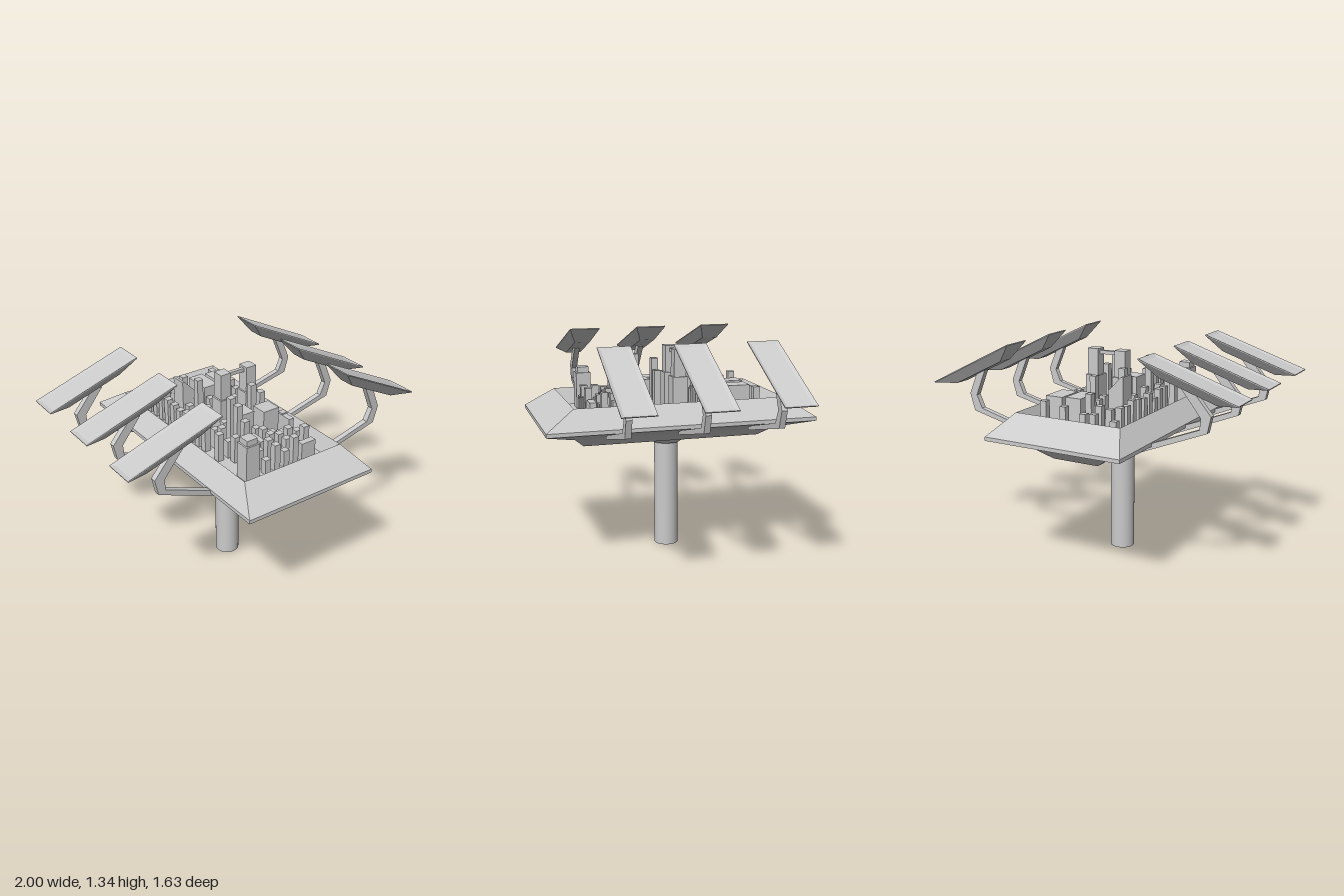
import * as THREE from 'three';

const material = new THREE.MeshStandardMaterial({ color: 0xcccccc, flatShading: true });
const smooth = new THREE.MeshStandardMaterial({ color: 0xcccccc });
const CX = -0.025; // axis of the platform and pole
const FLOOR = 0.87;

function add(parent, name, geometry, mat = material) {
  const mesh = new THREE.Mesh(geometry, mat);
  mesh.name = name;
  parent.add(mesh);
  return mesh;
}

// Skin over rectangular rings [halfX, halfZ, y], capped at both ends
function loft(rings) {
  const corners = rings.map(([w, d, y]) => [[-w, y, d], [w, y, d], [w, y, -d], [-w, y, -d]]);
  const pos = [];
  const quad = (a, b, c, d) => [a, b, c, a, c, d].forEach((p) => pos.push(...p));
  const first = corners[0], last = corners[corners.length - 1];
  quad(first[3], first[2], first[1], first[0]);
  for (let r = 0; r + 1 < corners.length; r++) {
    for (let i = 0; i < 4; i++) {
      const j = (i + 1) % 4;
      quad(corners[r][i], corners[r][j], corners[r + 1][j], corners[r + 1][i]);
    }
  }
  quad(...last);
  const g = new THREE.BufferGeometry();
  g.setAttribute('position', new THREE.Float32BufferAttribute(pos, 3));
  g.computeVertexNormals();
  return g;
}

// Block standing on the city floor
function block(parent, name, x0, x1, z0, z1, top, bottom = FLOOR - 0.005) {
  const g = new THREE.BoxGeometry(x1 - x0, top - bottom, z1 - z0);
  g.translate((x0 + x1) / 2, (top + bottom) / 2, (z0 + z1) / 2);
  return add(parent, name, g);
}

// Outline in x and y, extruded along z about its middle
function slab(points, depth) {
  const shape = new THREE.Shape(points.map(([x, y]) => new THREE.Vector2(x, y)));
  return new THREE.ExtrudeGeometry(shape, { depth, bevelEnabled: false }).translate(0, 0, -depth / 2);
}

function buildCity() {
  const city = new THREE.Group();
  city.name = 'city';

  // Small towers on a street grid: one row per z, one character per x
  const rows = [
    '#.##.#.#', '####....', '##......', '#.......', '#...####', '########', '##......', '##......',
    '#.......', '###..##.', '.##.....', '#####..#', '.##.###.', '.##.####', '..######', '..####..',
  ];
  const tall = { '5,2': 1.185, '5,5': 1.12, '9,5': 1.205, '9,6': 1.14, '10,2': 1.205, '11,2': 1.185, '12,2': 1.115, '1,3': 1.08 };
  let seed = 7;
  const random = () => (seed = (seed * 16807) % 2147483647) / 2147483647;
  rows.forEach((row, r) => [...row].forEach((mark, c) => {
    const height = 0.96 + random() * 0.085;
    if (mark !== '#') return;
    const x = -0.25 + c * 0.066, z = -0.498 + r * 0.0672;
    block(city, 'smallTower', x - 0.02, x + 0.02, z - 0.02, z + 0.02, tall[`${r},${c}`] ?? height);
  }));

  // Large buildings: x range, z range, top
  [
    [0, 0.1, -0.45, -0.275, 1.045],
    [0.125, 0.235, -0.45, -0.275, 1.04],
    [-0.075, 0.03, 0.085, 0.2, 1.08],
    [0.055, 0.165, 0.155, 0.26, 1.09],
    [0.19, 0.225, 0.22, 0.33, 1.03],
    [-0.075, -0.04, 0.29, 0.4, 1.0],
    [0.125, 0.225, 0.49, 0.53, 0.98],
    [-0.27, -0.18, 0.44, 0.53, 1.09],
    [-0.26, -0.19, 0.45, 0.52, 1.125],
  ].forEach((b) => block(city, 'largeBuilding', ...b));

  // Tower with a sloping roof
  const wedge = slab([[-0.2, 0.865], [-0.105, 0.865], [-0.105, 1.08], [-0.185, 1.165], [-0.2, 1.165]], 0.1);
  add(city, 'slopedTower', wedge).position.z = -0.26;

  // Twin towers joined by a bridge
  for (const x of [-0.037, 0.148]) {
    block(city, 'twinTower', x - 0.036, x + 0.036, -0.062, 0.01, 1.255);
    block(city, 'twinTowerRoof', x - 0.046, x + 0.046, -0.072, 0.02, 1.1);
    block(city, 'twinTowerCap', x - 0.036, x + 0.036, -0.062, 0.01, 1.262, 1.225);
  }
  block(city, 'towerBridge', 0, 0.112, -0.038, -0.014, 1.25, 1.228);
  return city;
}

// Row of three arms carrying tilted dishes on one side
function buildPanelArms(name, outline, centre, angle, length, zShift) {
  const side = new THREE.Group();
  side.name = name;
  const half = length / 2, w = 0.095;
  const dish = loft([
    [half - 0.125, w - 0.045, -0.065],
    [half, w, -0.006],
    [half, w, 0],
    [half - 0.025, w - 0.02, -0.008],
  ]);
  const arm = slab(outline, 0.035);
  for (const z of [-0.437, 0, 0.437]) {
    add(side, 'arm', arm).position.z = z;
    const panel = add(side, 'panel', dish);
    panel.position.set(centre[0], centre[1], z + zShift);
    panel.rotation.z = angle;
  }
  return side;
}

export function createModel() {
  const model = new THREE.Group();
  model.name = 'floatingCity';

  // Pole and collar
  const pole = add(model, 'pole', new THREE.CylinderGeometry(0.074, 0.074, 0.8, 32), smooth);
  pole.position.set(CX, 0.4, 0);
  const collar = new THREE.CylinderGeometry(0.128, 0.085, 0.035, 32);
  add(model, 'collar', collar, smooth).position.set(CX, 0.6825, 0);
  const hub = new THREE.CylinderGeometry(0.128, 0.128, 0.09, 32);
  add(model, 'hub', hub, smooth).position.set(CX, 0.745, 0);

  // Platform: hollow underside, flared rim, sunken city floor
  const platform = loft([
    [0.145, 0.55, 0.78],
    [0.147, 0.552, 0.7],
    [0.245, 0.62, 0.765],
    [0.435, 0.815, 0.832],
    [0.435, 0.815, 0.855],
    [0.34, 0.64, 0.97],
    [0.302, 0.568, FLOOR],
  ]);
  add(model, 'platform', platform).position.x = CX;

  model.add(buildCity());

  // Left and right arms differ slightly in reach and tilt
  model.add(buildPanelArms('leftPanels',
    [[0.3, 0.775], [0.76, 0.885], [0.79, 0.99], [0.73, 1.13], [0.67, 1.15], [0.74, 0.985], [0.705, 0.905], [0.3, 0.8]],
    [0.7225, 1.1925], -0.46, 0.62, -0.003));
  model.add(buildPanelArms('rightPanels',
    [[-0.36, 0.775], [-0.36, 0.81], [-0.745, 0.965], [-0.75, 1.03], [-0.63, 1.18], [-0.7, 1.175], [-0.81, 1.045], [-0.79, 0.95]].reverse(),
    [-0.71, 1.24], 0.317, 0.61, -0.015));
  return model;
}
